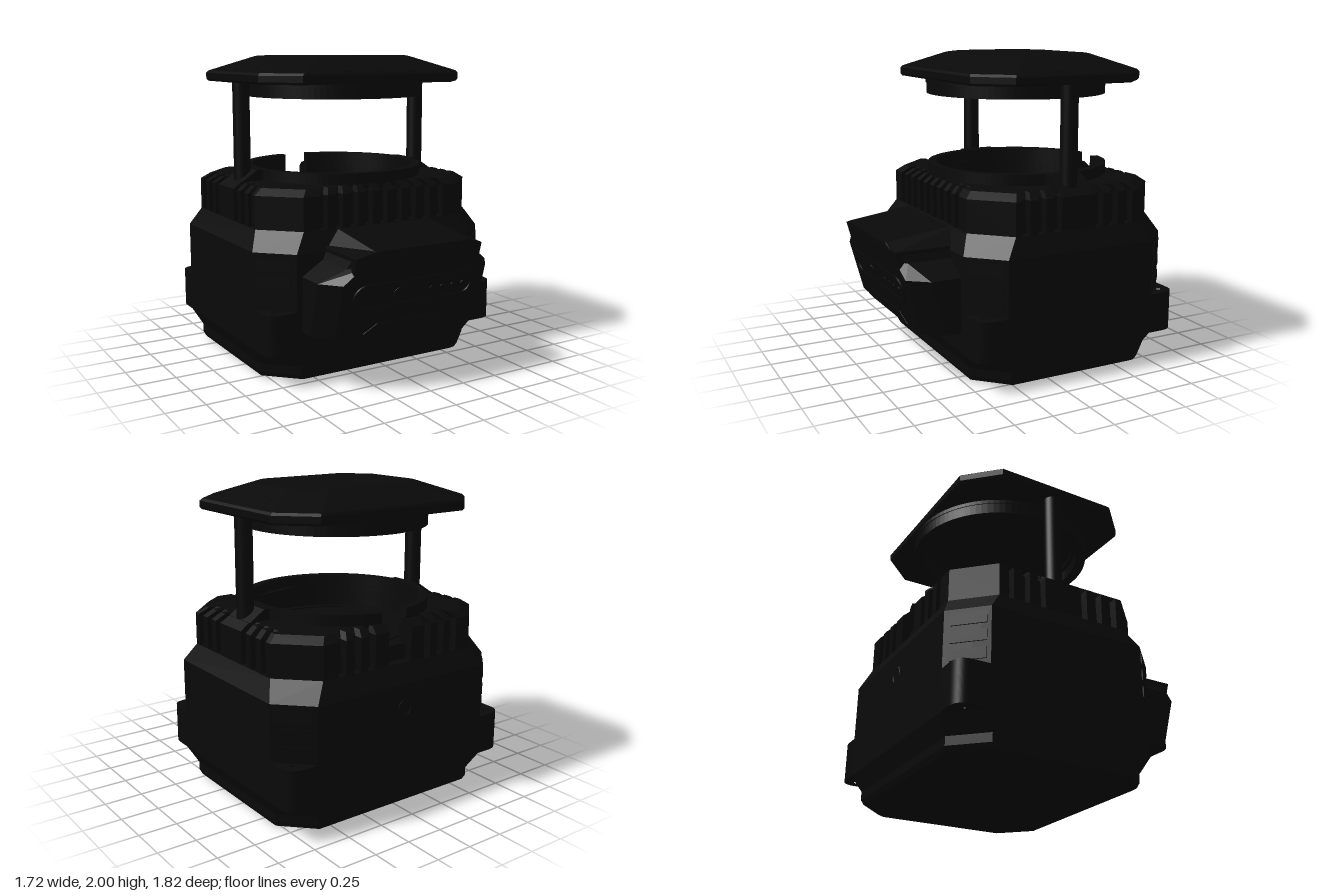
import * as THREE from 'three';

const black = new THREE.MeshStandardMaterial({ color: 0x090909 });
black.name = 'matte black';

function add(parent, name, geometry, x = 0, y = 0, z = 0) {
  const mesh = new THREE.Mesh(geometry, black);
  mesh.name = name;
  mesh.position.set(x, y, z);
  parent.add(mesh);
  return mesh;
}

// Skin a stack of equal-length rings (counter-clockwise from above), with end caps.
function loft(rings) {
  const n = rings[0].length, pos = [];
  const tri = (...pts) => pts.forEach((p) => pos.push(...p));
  for (let r = 0; r < rings.length - 1; r++) {
    for (let i = 0; i < n; i++) {
      const j = (i + 1) % n, lo = rings[r], hi = rings[r + 1];
      tri(lo[i], lo[j], hi[j]);
      tri(lo[i], hi[j], hi[i]);
    }
  }
  const bottom = rings[0], top = rings[rings.length - 1];
  for (let i = 1; i < n - 1; i++) {
    tri(top[0], top[i], top[i + 1]);
    tri(bottom[0], bottom[i + 1], bottom[i]);
  }
  const g = new THREE.BufferGeometry();
  g.setAttribute('position', new THREE.Float32BufferAttribute(pos, 3));
  g.computeVertexNormals();
  return g;
}

const octagon = ([y, w, d, c]) => [
  [w, y, d - c], [w, y, c - d], [w - c, y, -d], [c - w, y, -d],
  [-w, y, c - d], [-w, y, d - c], [c - w, y, d], [w - c, y, d],
];

// Upright extrusion: the shape's y axis becomes -z.
function slab(shape, depth, steps = 1) {
  return new THREE.ExtrudeGeometry(shape, { depth, steps, bevelEnabled: false, curveSegments: 48 })
    .rotateX(-Math.PI / 2);
}
const polygon = (pts) => new THREE.Shape(pts.map((p) => new THREE.Vector2(...p)));

// Ring-shaped band with a gap at the back.
function openRing(outer, inner, gap) {
  const s = new THREE.Shape(), a = Math.PI / 2 + gap, b = Math.PI * 2.5 - gap;
  s.absarc(0, 0, outer, a, b, false);
  s.absarc(0, 0, inner, b, a, true);
  return s;
}
function fullRing(outer, inner) {
  const s = new THREE.Shape().absarc(0, 0, outer, 0, Math.PI * 2, false);
  s.holes.push(new THREE.Path().absarc(0, 0, inner, 0, Math.PI * 2, true));
  return s;
}

// Finned upper housing: slotted octagon around a round well, open at the back.
function finnedCrown() {
  const W = 0.8, D = 0.66, c = 0.22, half = 0.0275, deep = 0.06, notch = 0.09, pts = [];
  const side = (nx, ny, h, slots) => {
    const put = (t, d) => pts.push([nx * (h - d) - ny * t, ny * (h - d) + nx * t]);
    slots.forEach((t) => {
      put(t - half, 0); put(t - half, deep); put(t + half, deep); put(t + half, 0);
    });
  };
  const flank = [-0.37, -0.26, -0.15, 0.15, 0.26, 0.37];
  pts.push([-notch, D]);
  side(0, 1, D, [0.22, 0.33, 0.44]);
  pts.push([c - W, D], [-W, D - c]);
  side(-1, 0, W, flank);
  pts.push([-W, c - D], [c - W, -D]);
  side(0, -1, D, [-4, -3, -2, -1, 0, 1, 2, 3, 4].map((i) => i * 0.11));
  pts.push([W - c, -D], [W, c - D]);
  side(1, 0, W, flank);
  pts.push([W, D - c], [W - c, D]);
  side(0, 1, D, [-0.44, -0.33, -0.22]);
  pts.push([notch, D]);
  const gap = Math.asin(notch / 0.55);
  for (let i = 0; i <= 64; i++) {
    const a = Math.PI / 2 - gap - (i / 64) * (Math.PI * 2 - gap * 2);
    pts.push([0.55 * Math.cos(a), 0.55 * Math.sin(a)]);
  }
  const g = slab(polygon(pts), 0.26, 2), p = g.attributes.position;
  // Lift the middle layer and draw the outer top edge inward.
  for (let i = 0; i < p.count; i++) {
    const x = p.getX(i), y = p.getY(i), z = p.getZ(i);
    if (y > 0.05 && y < 0.2) p.setY(i, 0.22);
    if (y > 0.2 && Math.hypot(x, z) > 0.58) p.setXYZ(i, x * 0.925, y, z * 0.925);
  }
  g.computeVertexNormals();
  return g;
}

function pillPath(Type, w, h) {
  const r = h / 2, s = new Type();
  s.absarc(w / 2 - r, 0, r, -Math.PI / 2, Math.PI / 2, false);
  s.absarc(r - w / 2, 0, r, Math.PI / 2, Math.PI * 1.5, false);
  s.closePath();
  return s;
}

export function createModel() {
  const model = new THREE.Group();
  model.name = 'lantern';

  const base = new THREE.Group();
  base.name = 'base';
  base.position.z = -0.19;
  model.add(base);

  add(base, 'housing', loft([
    [0, 0.765, 0.625, 0.19], [0.012, 0.785, 0.645, 0.19], [0.045, 0.8, 0.66, 0.19],
    [0.1, 0.8, 0.66, 0.19], [0.21, 0.86, 0.72, 0.2], [0.83, 0.86, 0.72, 0.2],
    [0.95, 0.8, 0.66, 0.22], [0.951, 0.745, 0.605, 0.2], [1.05, 0.745, 0.605, 0.2],
  ].map(octagon)));
  add(base, 'finnedCrown', finnedCrown(), 0, 0.94, 0);
  add(base, 'collar', slab(openRing(0.605, 0.55, 0.16), 0.1), 0, 1.17, 0);
  add(base, 'wellRing', slab(fullRing(0.5, 0.47), 0.015), 0, 1.045, 0);
  add(base, 'wellButton', new THREE.CylinderGeometry(0.04, 0.04, 0.02, 24), 0, 1.06, 0);
  add(base, 'footDisc', new THREE.CylinderGeometry(0.05, 0.05, 0.01, 24), 0, 0.005, 0);
  add(base, 'rearSocket', new THREE.TorusGeometry(0.05, 0.012, 8, 28), 0, 0.68, -0.711);

  // Corner ears with screw holes, and grip ribs above them.
  for (const sx of [1, -1]) for (const sz of [1, -1]) {
    const s = new THREE.Shape();
    s.moveTo(sx * 0.6, sz * 0.72);
    s.lineTo(sx * 0.76, sz * 0.72);
    s.quadraticCurveTo(sx * 0.86, sz * 0.72, sx * 0.86, sz * 0.62);
    s.lineTo(sx * 0.86, sz * 0.46);
    s.closePath();
    s.holes.push(new THREE.Path().absarc(sx * 0.783, sz * 0.64, 0.014, 0, Math.PI * 2, true));
    add(base, 'cornerEar', slab(s, 0.26), 0, 0.21, 0);
    for (let i = 0; i < 3; i++) {
      const rib = add(base, 'gripRib', new THREE.BoxGeometry(0.22, 0.07, 0.03),
        sx * 0.76, 0.54 + i * 0.11, sz * 0.61);
      rib.rotation.y = sx * sz * Math.PI / 4;
    }
  }

  // Posts and their sloped sockets.
  for (const s of [1, -1]) {
    add(base, 'post', new THREE.CylinderGeometry(0.055, 0.055, 0.68, 32), s * 0.685, 1.51, 0.01);
    const boss = new THREE.ExtrudeGeometry(
      polygon([[0.57, 1.17], [0.735, 1.17], [0.735, 1.2], [0.63, 1.27], [0.57, 1.27]].map(([x, y]) => [s * x, y])),
      { depth: 0.24, bevelEnabled: false });
    add(base, 'postSocket', boss, 0, 0, -0.12);
  }

  // Lid with a hollow skirt and sloped panels.
  const lid = new THREE.Group();
  lid.name = 'lid';
  lid.position.z = -0.18;
  model.add(lid);
  add(lid, 'lidShell', loft([
    [1.83, 0.74, 0.6, 0.19], [1.845, 0.755, 0.61, 0.2], [1.885, 0.755, 0.61, 0.2],
    [1.9, 0.74, 0.6, 0.2], [1.995, 0.49, 0.375, 0.17], [2, 0.465, 0.355, 0.16],
  ].map(octagon)));
  add(lid, 'lidSkirt', slab(fullRing(0.6, 0.53), 0.1), 0, 1.735, 0);
  add(lid, 'lidStep', slab(fullRing(0.606, 0.5), 0.03), 0, 1.805, 0);
  for (let i = 0; i < 4; i++) {
    const wide = i % 2 === 0, run = wide ? 0.25 : 0.275;
    const [b, t] = wide ? [0.42, 0.3] : [0.26, 0.18];
    const g = new THREE.ExtrudeGeometry(polygon([[-b, -0.08], [b, -0.08], [t, 0.08], [-t, 0.08]]),
      { depth: 0.008, bevelEnabled: false });
    g.rotateX(Math.atan(0.11 / run) - Math.PI / 2);
    g.translate(0, 1.934, wide ? 0.505 : 0.635);
    add(lid, 'lidPanel', g.rotateY(i * Math.PI / 2));
  }

  // Forward-leaning battery pack.
  const pack = new THREE.Group();
  pack.name = 'batteryPack';
  model.add(pack);
  const front = (y) => 0.765 + 0.266 * (y - 0.34);
  const packRing = ([y, w, inset, tilt, a, b, c]) => {
    const zf = front(y) - inset, half = [[w - c, zf], [w - c / 3, zf - a], [w, zf - b], [w, 0.4]];
    const pts = [...half, ...half.slice().reverse().map(([x, z]) => [-x, z])];
    return pts.map(([x, z]) => [x, y + tilt * (0.91 - z), z]);
  };
  add(pack, 'packShell', loft([
    [0.34, 0.625, 0.005, 0, 0.005, 0.13, 0.3], [0.69, 0.625, 0.005, 0, 0.005, 0.13, 0.3],
    [0.78, 0.48, 0.01, 0, 0.005, 0.06, 0.2], [0.85, 0.45, 0.015, 0, 0.005, 0.04, 0.2],
  ].map(packRing)));
  add(pack, 'packCore', loft([
    [0.337, 0.46, 0, 0, 0.008, 0.014, 0.15], [0.85, 0.46, 0, 0, 0.008, 0.014, 0.15],
    [0.885, 0.34, 0.002, 0.138, 0.008, 0.014, 0.06],
  ].map(packRing)));
  const lean = Math.atan(0.266);
  const onFace = (name, g, x, y) => {
    add(pack, name, g, x, y, front(y) - 0.006).rotation.x = lean;
  };
  const frame = pillPath(THREE.Shape, 0.9, 0.18);
  frame.holes.push(pillPath(THREE.Path, 0.84, 0.13));
  onFace('indicatorFrame', new THREE.ExtrudeGeometry(frame, { depth: 0.01, bevelEnabled: false }), 0, 0.59);
  onFace('powerButton', new THREE.CylinderGeometry(0.045, 0.045, 0.02, 24).rotateX(Math.PI / 2), -0.12, 0.59);
  for (let i = 0; i < 4; i++) {
    onFace('indicator', new THREE.CylinderGeometry(0.018, 0.018, 0.018, 16).rotateX(Math.PI / 2), 0.12 + i * 0.08, 0.59);
  }
  onFace('lowerPanel', new THREE.ExtrudeGeometry(
    polygon([[-0.34, -0.03], [0.34, -0.03], [0.25, 0.03], [-0.25, 0.03]]),
    { depth: 0.01, bevelEnabled: false }), 0, 0.38);

  return model;
}
